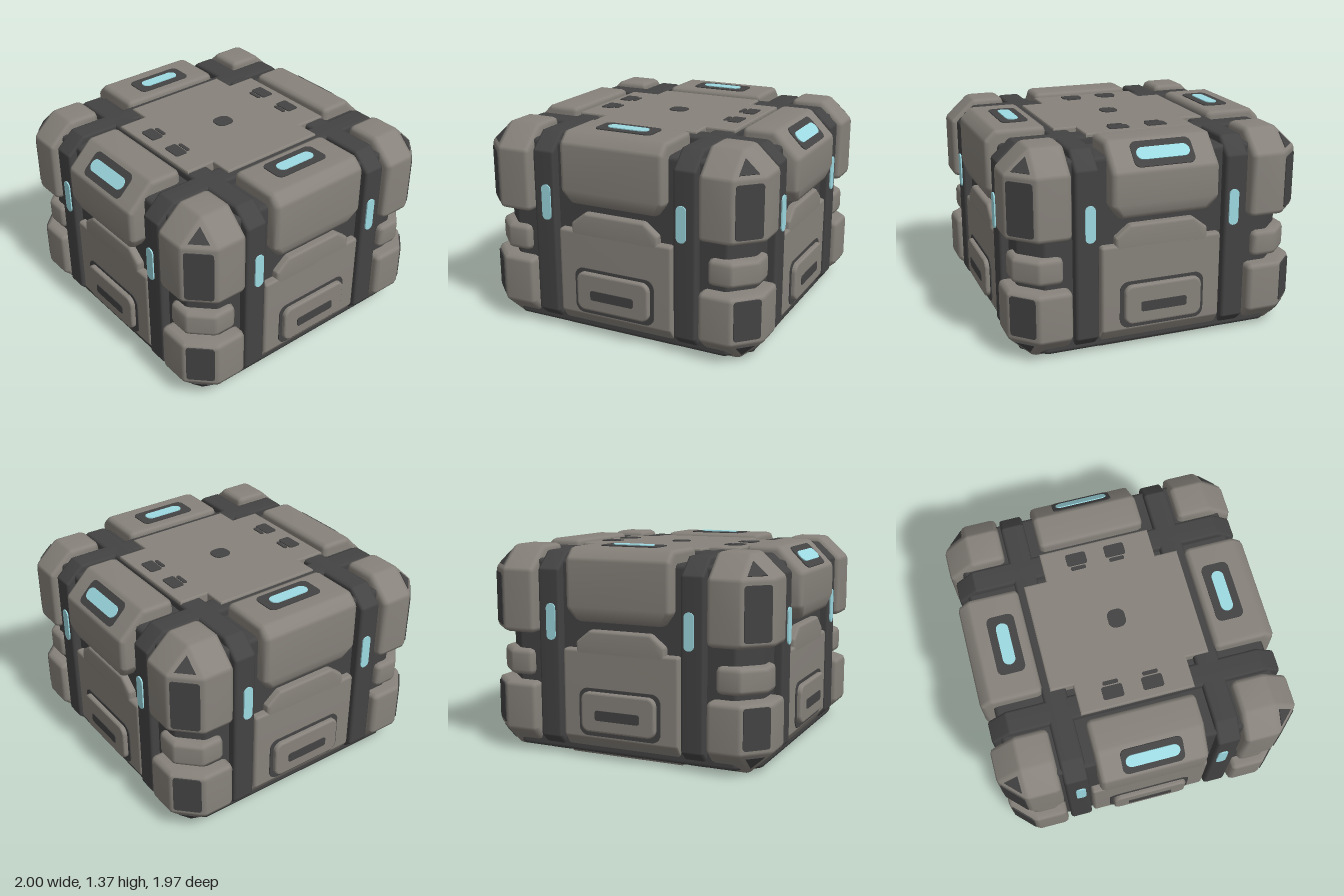
import * as THREE from 'three';
import { ConvexGeometry } from 'three/addons/geometries/ConvexGeometry.js';
import { mergeVertices } from 'three/addons/utils/BufferGeometryUtils.js';

const V = (x, y, z) => new THREE.Vector3(x, y, z);

export function createModel() {
  const mat = (name, color) => {
    const m = new THREE.MeshStandardMaterial({ color });
    m.name = name;
    return m;
  };
  const grey = mat('warmGreyArmour', 0x87827b);
  const dark = mat('darkFrame', 0x434343);
  const cyan = mat('cyanLight', 0x9ddae2);

  const root = new THREE.Group();
  root.name = 'crate';

  const add = (parent, name, geometry, material) => {
    const m = new THREE.Mesh(geometry, material);
    m.name = name;
    parent.add(m);
    return m;
  };

  // 26 directions that round off every hull corner
  const dirs = [];
  for (let x = -1; x <= 1; x++)
    for (let y = -1; y <= 1; y++)
      for (let z = -1; z <= 1; z++)
        if (x || y || z) dirs.push(V(x, y, z).normalize());

  // Convex solid through the given corners, with edges rounded by r
  const hull = (corners, r) => {
    const c = new THREE.Box3().setFromPoints(corners).getCenter(V());
    const pts = [];
    for (const p of corners) {
      const q = p.clone();
      for (const k of ['x', 'y', 'z']) {
        const d = p[k] - c[k];
        q[k] -= Math.sign(d) * Math.min(r, Math.abs(d));
      }
      for (const d of dirs) pts.push(q.clone().addScaledVector(d, r));
    }
    let g = new ConvexGeometry(pts);
    g.deleteAttribute('normal');
    g = mergeVertices(g, 1e-4);
    g.computeVertexNormals();
    return g;
  };

  // Rounded rectangle outline
  const roundRect = (w, h, r) => {
    const s = new THREE.Shape();
    const x = w / 2 - r, y = h / 2 - r;
    s.absarc(x, y, r, 0, Math.PI / 2);
    s.absarc(-x, y, r, Math.PI / 2, Math.PI);
    s.absarc(-x, -y, r, Math.PI, Math.PI * 1.5);
    s.absarc(x, -y, r, Math.PI * 1.5, Math.PI * 2);
    s.closePath();
    return s;
  };

  // Thin plate lying on a surface point, facing along the normal
  const plate = (parent, name, shape, material, pos, normal, lift = 0) => {
    const g = new THREE.ExtrudeGeometry(shape, { depth: 0.009, bevelEnabled: false, curveSegments: 6 });
    g.translate(0, 0, lift - 0.003);
    const holder = new THREE.Object3D();
    holder.lookAt(normal);
    const m = add(parent, name, g, material);
    m.quaternion.copy(holder.quaternion);
    m.position.copy(pos);
    return m;
  };

  // Square footprint a..b with its outer vertical edge cut by c
  const footprint = (a, b, c, y) =>
    [[a, a], [b, a], [b, b - c], [b - c, b], [a, b]].map(([x, z]) => V(x, y, z));

  // Dark inner body with cut vertical edges
  const core = [];
  for (const y of [0.02, 1.27])
    for (const sx of [-1, 1])
      for (const sz of [-1, 1])
        core.push(V(sx * 0.89, y, sz * 0.77), V(sx * 0.77, y, sz * 0.89));
  add(root, 'innerBody', hull(core, 0.03), dark);

  // Four dark bands wrapping the body
  const bandCorners = [];
  for (const x of [0.42, 0.575])
    for (const s of [-1, 1])
      for (const [z, y] of [[0.84, 0.005], [0.95, 0.11], [0.95, 1.22], [0.84, 1.32]])
        bandCorners.push(V(x, y, s * z));
  const bandGeo = hull(bandCorners, 0.02);

  // Corner blocks: cut vertical edge and sloped outer end
  const X = 0.978, C = 0.14, S = 0.13, R = 0.035;
  const block = (inner, outer) => {
    const s = Math.sign(outer - inner);
    return hull([
      ...footprint(0.595, X, C, inner),
      ...footprint(0.595, X, C, outer - s * S),
      V(0.595, outer, 0.595), V(X - C, outer, 0.595),
      V(0.595, outer, X - C), V(X - C, outer, X - C),
    ], R);
  };
  const upperBlock = block(0.79, 1.35);
  const lowerBlock = block(0.465, 0);
  const knob = hull([...footprint(0.64, 0.935, 0.12, 0.5), ...footprint(0.64, 0.935, 0.12, 0.675)], 0.035);

  const triangle = (s) => new THREE.Shape([
    new THREE.Vector2(-0.065, -0.035 * s), new THREE.Vector2(0.065, -0.035 * s), new THREE.Vector2(0, 0.07 * s),
  ]);

  for (let k = 0; k < 4; k++) {
    const corner = new THREE.Group();
    corner.name = 'corner' + (k + 1);
    corner.rotation.y = k * Math.PI / 2;
    root.add(corner);
    add(corner, 'band', bandGeo, dark);
    add(corner, 'upperCornerBlock', upperBlock, grey);
    add(corner, 'lowerCornerBlock', lowerBlock, grey);
    add(corner, 'cornerKnob', knob, grey);

    // Dark patches on the cut edges
    const e = X - C / 2 - 0.414 * R / Math.SQRT2;
    plate(corner, 'upperPatch', roundRect(0.18, 0.34, 0.02), dark, V(e, 1.0, e), V(1, 0, 1));
    plate(corner, 'lowerPatch', roundRect(0.18, 0.26, 0.02), dark, V(e, 0.31, e), V(1, 0, 1));
    for (const s of [1, -1]) {
      const n = V(0.563, 0.606 * s, 0.563);
      const t = X - 2 * C / 3;
      const p = V(t, s > 0 ? 1.35 - S * 2 / 3 : S * 2 / 3, t).addScaledVector(n, -0.73 * R);
      plate(corner, 'cornerTriangle', triangle(s), dark, p, n);
    }
  }

  for (let k = 0; k < 4; k++) {
    const sloped = k % 2 === 1;
    const side = new THREE.Group();
    side.name = ['front', 'left', 'back', 'right'][k] + 'Side';
    side.rotation.y = k * Math.PI / 2;
    root.add(side);

    // Upper lid clasp
    const reach = sloped ? 1.0 : 0.97, cut = sloped ? 0.15 : 0.05, zin = sloped ? 0.61 : 0.565;
    const lid = [];
    for (const s of [-1, 1]) {
      const w = s * (sloped ? 0.355 : 0.365);
      lid.push(V(w, 0.95, zin), V(w, 1.355, zin), V(w, 1.355, reach - cut), V(w, 1.355 - cut, reach),
        V(w, 0.95, reach), V(w * 0.87, 0.885, reach - 0.02), V(w * 0.87, 0.885, zin));
    }
    add(side, 'lidClasp', hull(lid, 0.035), grey);

    // Lid light: on the slope at the sides, on top at front and back
    if (sloped) {
      const n = V(0, 1, 1), p = V(0, 1.355 - cut / 2 - 0.01, reach - cut / 2 - 0.01);
      plate(side, 'lidLightRecess', roundRect(0.4, 0.18, 0.04), dark, p, n);
      plate(side, 'lidLight', roundRect(0.35, 0.085, 0.042), cyan, p, n, 0.006);
    } else {
      const n = V(0, 1, 0), p = V(0, 1.355, 0.72);
      plate(side, 'lidLightRecess', roundRect(0.4, 0.18, 0.04), dark, p, n);
      plate(side, 'lidLight', roundRect(0.285, 0.08, 0.04), cyan, p, n, 0.006);
    }

    // Lower panel with raised tab, wrapping under the bottom edge
    const panel = [], tab = [];
    for (const s of [-1, 1]) {
      for (const [y, z] of [[0, 0.6], [0, 0.85], [0.13, 0.94], [0.71, 0.94], [0.71, 0.6]])
        panel.push(V(s * 0.405, y, z));
      for (const z of [0.6, 0.94])
        tab.push(V(s * 0.31, 0.66, z), V(s * 0.31, 0.73, z), V(s * 0.225, 0.835, z));
    }
    add(side, 'lowerPanel', hull(panel, 0.02), grey);
    add(side, 'panelTab', hull(tab, 0.02), grey);

    // Handle boss with dark outline and slot
    plate(side, 'handleOutline', roundRect(0.57, 0.31, 0.06), dark, V(0, 0.31, 0.94), V(0, 0, 1));
    const boss = new THREE.ExtrudeGeometry(roundRect(0.49, 0.23, 0.04),
      { depth: 0.02, bevelThickness: 0.015, bevelSize: 0.015, bevelSegments: 3, curveSegments: 6 });
    add(side, 'handleBoss', boss, grey).position.set(0, 0.315, 0.942);
    plate(side, 'handleSlot', roundRect(0.31, 0.065, 0.015), dark, V(0, 0.3, 0.977), V(0, 0, 1));

    // Lights on the bands
    for (const s of [-1, 1])
      plate(side, 'bandLight', roundRect(0.065, 0.235, 0.03), cyan, V(s * 0.48, 0.875, 0.95), V(0, 0, 1), 0.003);
  }

  // Cross-shaped top panel
  const cross = new THREE.Shape([
    [0.36, 0.51], [0.36, 0.36], [0.56, 0.36], [0.56, -0.36], [0.36, -0.36], [0.36, -0.51],
    [-0.36, -0.51], [-0.36, -0.36], [-0.56, -0.36], [-0.56, 0.36], [-0.36, 0.36], [-0.36, 0.51],
  ].map(([x, y]) => new THREE.Vector2(x, y)));
  const top = new THREE.ExtrudeGeometry(cross, { depth: 0.1, bevelThickness: 0.01, bevelSize: 0.01, bevelSegments: 2 });
  top.rotateX(-Math.PI / 2);
  add(root, 'topPanel', top, grey).position.y = 1.225;

  // Top slots and centre dot
  for (const sx of [-1, 1])
    for (const z of [-0.14, 0.12]) {
      plate(root, 'topSlot', roundRect(0.085, 0.135, 0.015), dark, V(sx * 0.475, 1.335, z), V(0, 1, 0));
      plate(root, 'topSlotNotch', roundRect(0.025, 0.1, 0.01), dark, V(sx * 0.41, 1.335, z), V(0, 1, 0));
    }
  plate(root, 'centreDot', roundRect(0.125, 0.115, 0.045), dark, V(0, 1.335, 0.01), V(0, 1, 0));

  // Middle panel underneath
  const under = [];
  for (const x of [-0.41, 0.41])
    for (const z of [-0.41, 0.41])
      for (const y of [0, 0.1]) under.push(V(x, y, z));
  add(root, 'bottomPanel', hull(under, 0.015), grey);

  return root;
}
